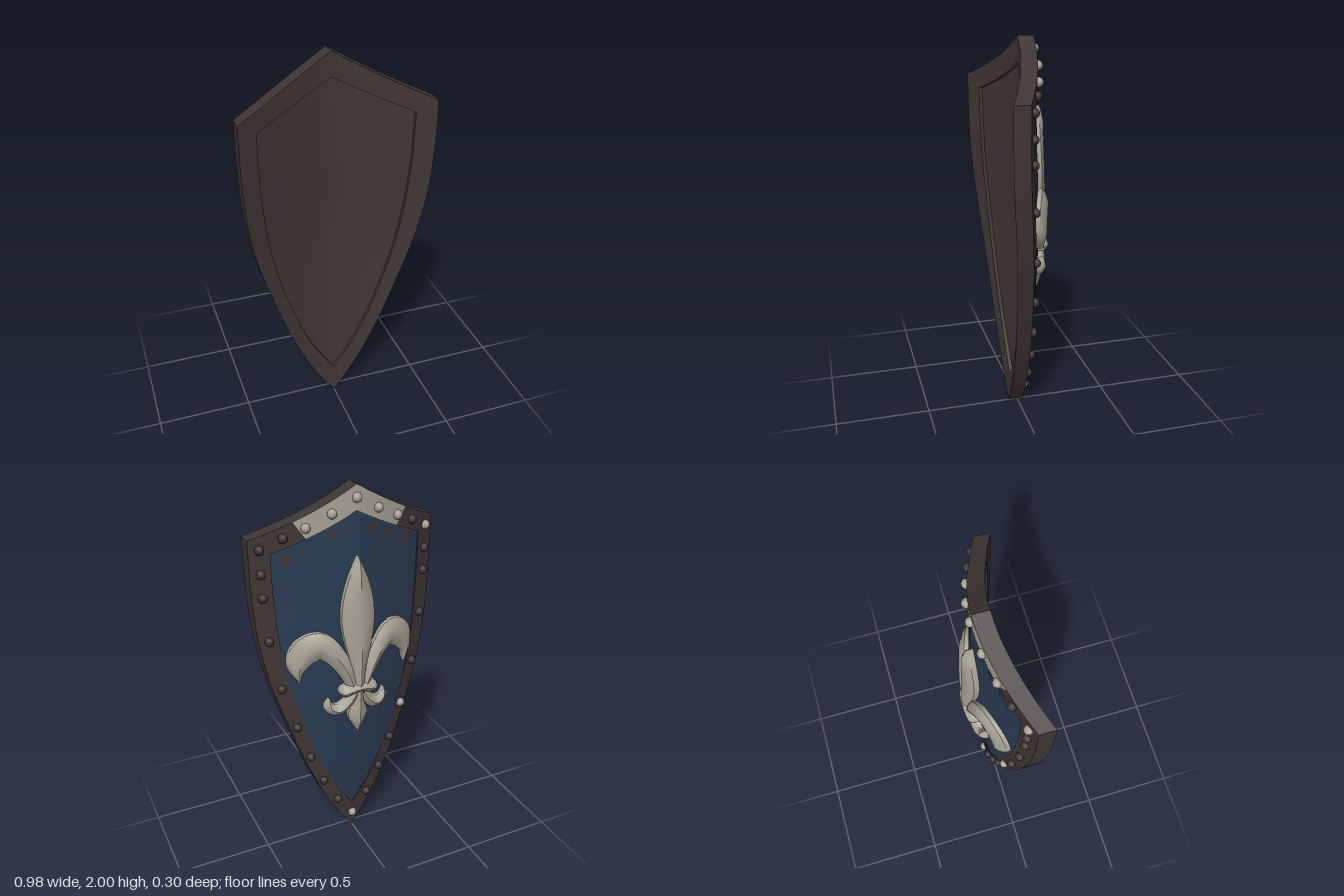
import * as THREE from 'three';
import { toCreasedNormals } from 'three/addons/utils/BufferGeometryUtils.js';

const V = (x, y, z) => new THREE.Vector3(x, y, z);
const mat = (name, color) => new THREE.MeshStandardMaterial({ name, color, side: THREE.DoubleSide });

// Joins rows of points into one surface
function skin(rows) {
  const n = rows[0].length, index = [];
  for (let r = 0; r < rows.length - 1; r++) {
    for (let i = 0; i < n - 1; i++) {
      const a = r * n + i, b = a + n;
      index.push(a, b, b + 1, a, b + 1, a + 1);
    }
  }
  const g = new THREE.BufferGeometry().setFromPoints(rows.flat());
  g.setIndex(index);
  return toCreasedNormals(g, 0.7);
}

// Depth of the shield's hollow side: bowed across, leaning slightly along its height
const spine = new THREE.SplineCurve([[0, 0.05], [0.5, 0.02], [1, -0.005], [1.5, 0], [2, 0]]
  .map(p => new THREE.Vector2(...p)));
const surf = (x, y) =>
  spine.getPoint(THREE.MathUtils.clamp(y / 2, 0, 1)).y + 0.455 * Math.pow(Math.abs(x), 1.6);

// Painted side of the panel, with a gentle swell
function panelBack(x, y) {
  const rise = Math.sin(Math.PI * THREE.MathUtils.clamp((y - 0.16) / 1.715, 0, 1));
  return surf(x, y) - 0.072 - 0.02 * rise * Math.max(0, 1 - (x / 0.4) ** 2);
}

// Half outline from peak to corner to bottom point
function halfOutline(peak, sag, side) {
  const corner = side[0];
  const top = new THREE.QuadraticBezierCurve(new THREE.Vector2(0, peak),
    new THREE.Vector2(corner[0] / 2, (peak + corner[1]) / 2 - sag), new THREE.Vector2(...corner));
  const edge = new THREE.SplineCurve(side.map(p => new THREE.Vector2(...p)));
  return [...top.getPoints(10), ...edge.getPoints(28).slice(1)];
}

const outer = halfOutline(2, 0.025, [[0.49, 1.755], [0.487, 1.5], [0.47, 1.25], [0.425, 1],
  [0.35, 0.75], [0.245, 0.45], [0.13, 0.2], [0, 0]]);
const inner = halfOutline(1.875, 0.015, [[0.395, 1.69], [0.39, 1.45], [0.372, 1.22], [0.335, 0.98],
  [0.275, 0.75], [0.19, 0.5], [0.1, 0.31], [0, 0.16]]);
const middle = outer.map((p, i) => p.clone().add(inner[i]).multiplyScalar(0.5));

// Stretch of the mirrored outline between two indices, at a depth below the hollow side
function loop(half, depth, from, to) {
  const n = half.length, total = 2 * n - 2, pts = [];
  for (let k = from; k <= to; k++) {
    const i = (k + total) % total;
    const p = i < n ? half[i] : half[total - i];
    const x = i < n ? p.x : -p.x;
    pts.push(V(x, p.y, surf(x, p.y) - depth));
  }
  return pts;
}

// Domed ribbon lying on the painted panel; stations are [x, y, half width]
const ACROSS = [[-1, -0.012], [-1, 0.022], [-0.6, 0.04], [0, 0.052], [0.6, 0.04], [1, 0.022], [1, -0.012]];
function ribbon(stations, lift = 0) {
  const curve = new THREE.CatmullRomCurve3(stations.map(s => V(...s)), false, 'centripetal');
  const rows = [];
  for (let i = 0; i <= 24; i++) {
    const p = curve.getPoint(i / 24), t = curve.getTangent(i / 24);
    const w = Math.max(0, p.z), len = Math.hypot(t.x, t.y) || 1;
    rows.push(ACROSS.map(([s, h]) => {
      const x = p.x + s * w * t.y / len, y = p.y - s * w * t.x / len;
      const swell = h > 0.022 ? 0.022 + (h - 0.022) * Math.min(1, 0.35 + w / 0.06) : h;
      return V(x, y, panelBack(x, y) - swell - (h > 0 ? lift : 0));
    }));
  }
  return skin(rows);
}

export function createModel() {
  const brown = mat('dark brown leather', 0x403535);
  const blue = mat('dark blue paint', 0x2a3b53);
  const metal = mat('worn pale metal', 0xa8a395);
  const shield = new THREE.Group();
  shield.name = 'shield';
  const add = (name, geometry, material, parent = shield) => {
    const m = new THREE.Mesh(geometry, material);
    m.name = name;
    parent.add(m);
    return m;
  };

  // Rim, with a worn metal stretch across the top of its painted side
  const L = 2 * outer.length - 2, T = 0.082;
  add('rim', skin([loop(outer, T, 0, L), loop(outer, 0, 0, L), loop(inner, 0, 0, L), loop(inner, T, 0, L)]), brown);
  add('rimBack', skin([loop(inner, T, 6, L - 6), loop(outer, T, 6, L - 6)]), brown);
  add('rimTopPlate', skin([loop(inner, T, -6, 6), loop(outer, T, -6, 6)]), metal);

  // Panel: plain hollow side and painted swelling side
  const panel = (dir, depth) => skin(inner.map(p => Array.from({ length: 25 }, (_, j) => {
    const x = dir * p.x * (j / 12 - 1);
    return V(x, p.y, depth(x, p.y));
  })));
  add('hollowPanel', panel(1, (x, y) => surf(x, y) - 0.018), brown);
  add('paintedPanel', panel(-1, panelBack), blue);

  // Worn patches in the paint under the top rim: x, y, radii
  for (const [cx, cy, rx, ry] of [[-0.29, 1.69, 0.05, 0.03], [-0.19, 1.74, 0.03, 0.025],
    [-0.09, 1.78, 0.035, 0.03], [0.33, 1.66, 0.025, 0.03], [0.12, 1.77, 0.025, 0.02]]) {
    add('wornPatch', skin([0, 0.5, 1].map(r => Array.from({ length: 15 }, (_, j) => {
      const a = -j / 14 * Math.PI * 2, k = r * (1 + 0.2 * Math.sin(3 * a));
      const x = cx + rx * k * Math.cos(a), y = cy + ry * k * Math.sin(a);
      return V(x, y, panelBack(x, y) - 0.004);
    }))), brown);
  }

  // Lily emblem
  const lily = new THREE.Group();
  lily.name = 'lilyEmblem';
  shield.add(lily);
  add('petal', ribbon([[0, 1.66, 0], [0, 1.56, 0.045], [0, 1.44, 0.08], [0, 1.32, 0.088], [0, 1.2, 0.07],
    [0, 1.08, 0.042], [0, 0.95, 0.03]], 0.004), metal, lily);
  add('tail', ribbon([[0, 0.95, 0.03], [0, 0.86, 0.035], [0, 0.79, 0.055], [0, 0.73, 0.03], [0, 0.68, 0]]), metal, lily);
  for (const s of [1, -1]) {
    const flip = pts => pts.map(([x, y, w]) => [s * x, y, w]);
    add('curledArm', ribbon(flip([[0.03, 0.95, 0.025], [0.07, 1.06, 0.04], [0.13, 1.16, 0.055],
      [0.2, 1.215, 0.07], [0.265, 1.18, 0.07], [0.305, 1.1, 0.045], [0.295, 1.01, 0]])), metal, lily);
    add('curledFoot', ribbon(flip([[0.02, 0.93, 0.025], [0.06, 0.87, 0.03], [0.11, 0.835, 0.035],
      [0.15, 0.855, 0.03], [0.155, 0.91, 0]])), metal, lily);
  }
  add('band', ribbon([[-0.095, 0.94, 0], [-0.09, 0.942, 0.028], [0, 0.96, 0.028], [0.09, 0.942, 0.028],
    [0.095, 0.94, 0]], 0.012), metal, lily);

  // Rivets along the middle of the rim
  const rivetShape = new THREE.SphereGeometry(0.024, 10, 8);
  const rivet = (x, y, material) =>
    add('rivet', rivetShape, material).position.set(x, y, surf(x, y) - T - 0.004);
  const along = (key, value, pts) => {
    const i = pts.findIndex((p, k) => k < pts.length - 1 && (p[key] - value) * (pts[k + 1][key] - value) <= 0);
    const a = pts[i], b = pts[i + 1];
    return a.clone().lerp(b, (value - a[key]) / (b[key] - a[key]));
  };
  rivet(0, middle[0].y, metal);
  rivet(0, 0.09, metal);
  for (const s of [1, -1]) {
    for (const x of [0.12, 0.24, 0.34]) {
      const p = along('x', x, middle.slice(0, 11));
      rivet(s * p.x, p.y, x < 0.3 ? metal : brown);
    }
    for (const y of [1.71, 1.59, 1.47, 1.24, 0.97, 0.73, 0.53, 0.36, 0.21]) {
      const p = along('y', y, middle.slice(10));
      rivet(s * p.x, p.y, s < 0 && (y === 1.71 || y === 0.73) ? metal : brown);
    }
  }
  return shield;
}
